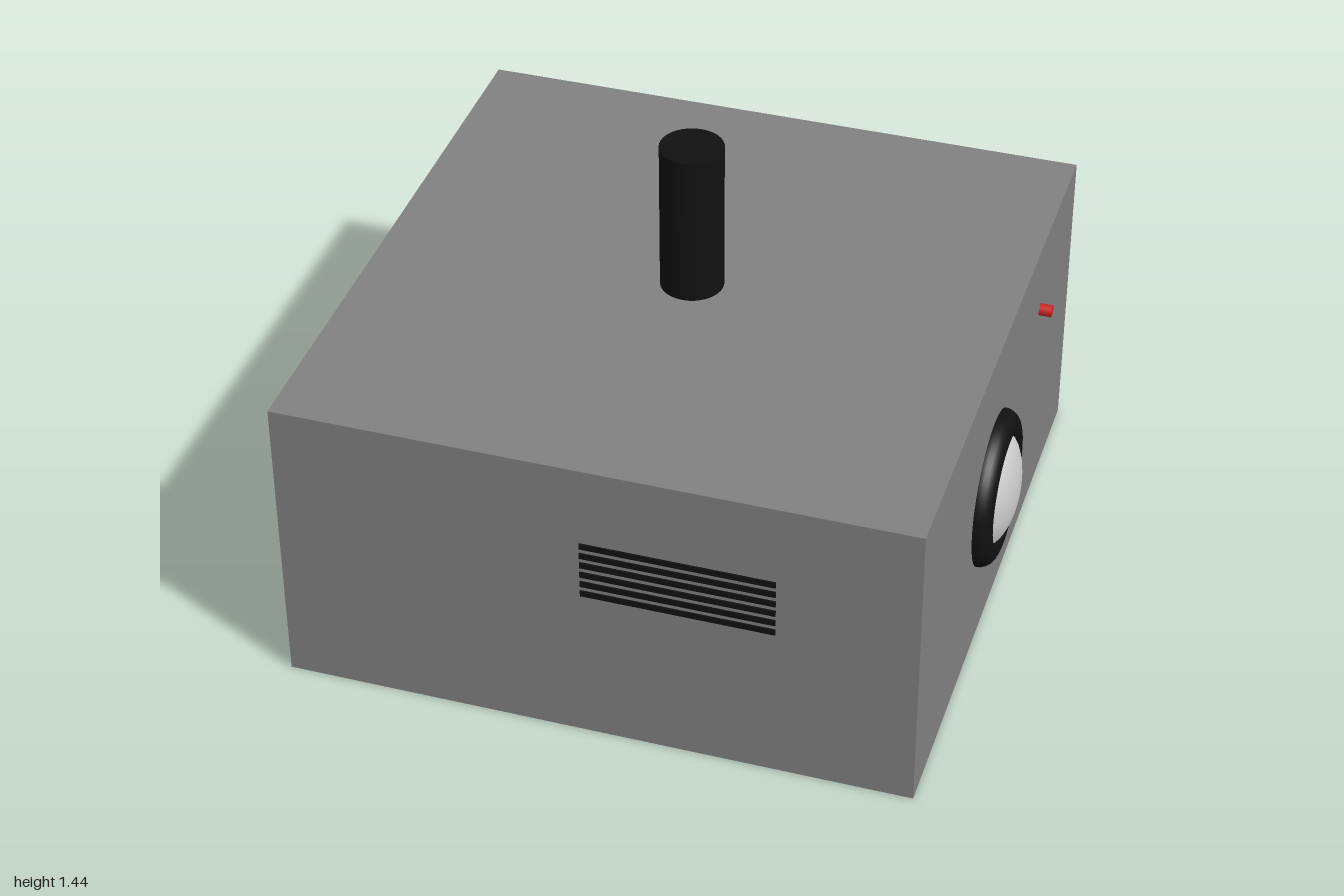
import * as THREE from 'three';

const material = (color) => new THREE.MeshStandardMaterial({ color });

export function createModel() {
  const model = new THREE.Group();
  const black = material(0x111111);
  const add = (name, geometry, mat, x, y, z, parent = model) => {
    const mesh = new THREE.Mesh(geometry, mat);
    mesh.name = name;
    mesh.position.set(x, y, z);
    parent.add(mesh);
    return mesh;
  };

  const side = 1.915, height = 0.96;
  const cx = -0.0425, cz = -0.0025;
  const faceX = cx + side / 2;
  const faceZ = cz + side / 2;

  // Square housing
  add('housing', new THREE.BoxGeometry(side, height, side), material(0x808080), cx, height / 2, cz);

  // Ceiling mount pole on top
  add('mountPole', new THREE.CylinderGeometry(0.096, 0.096, 0.48, 32), black, cx, height + 0.24, cz);

  // Lens on the left side: half-sunk ring with a flattened dome inside
  const lens = new THREE.Group();
  lens.name = 'lens';
  lens.position.set(faceX, 0.48, 0.094);
  model.add(lens);
  const ring = add('lensRing', new THREE.TorusGeometry(0.191, 0.05, 24, 64), black, 0, 0, 0, lens);
  ring.rotation.y = Math.PI / 2;
  const glass = add('lensGlass', new THREE.SphereGeometry(0.182, 32, 24), material(0xcccccc), 0, 0, 0, lens);
  glass.scale.x = 0.085 / 0.182;

  // Small red indicator light
  const light = add('indicatorLight', new THREE.CylinderGeometry(0.019, 0.019, 0.076, 16),
    material(0xcc2222), faceX, 0.72, -0.503);
  light.rotation.z = -Math.PI / 2;

  // Vent slats on the front
  const vent = new THREE.Group();
  vent.name = 'vent';
  model.add(vent);
  for (let i = 0; i < 6; i++) {
    add('ventSlat', new THREE.BoxGeometry(0.576, 0.019, 0.01), black, 0.211, 0.522 + i * 0.0344, faceZ, vent);
  }

  return model;
}
